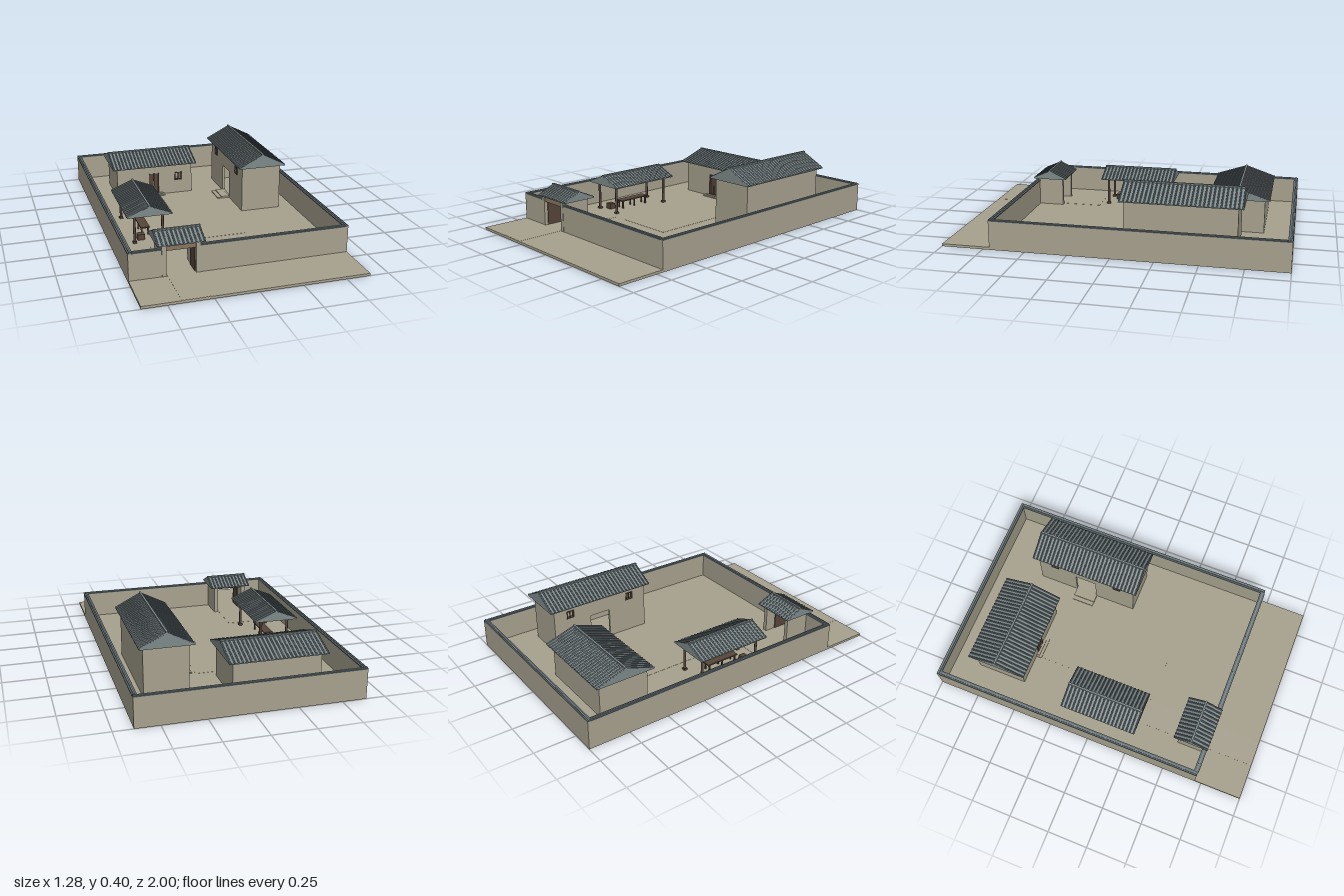
import * as THREE from 'three';
import { mergeGeometries } from 'three/addons/utils/BufferGeometryUtils.js';

const mat = (name, color) => {
  const m = new THREE.MeshStandardMaterial({ color });
  m.name = name;
  return m;
};

export function createModel() {
  const root = new THREE.Group();
  root.name = 'walledCourtyard';
  const earth = mat('earthPlaster', 0xa8a28f);
  const tile = mat('roofTile', 0x7f8a8b);
  const rib = mat('tileRib', 0x5f6b70);
  const wood = mat('darkWood', 0x57453b);
  const beamWood = mat('lightWood', 0x89755f);
  const G = 0.015; // ground level

  const add = (parent, name, geo, m) => {
    const mesh = new THREE.Mesh(geo, m);
    mesh.name = name;
    parent.add(mesh);
    return mesh;
  };
  const group = (name) => {
    const g = new THREE.Group();
    g.name = name;
    root.add(g);
    return g;
  };
  // box given by its extents
  const box = (parent, name, m, x0, x1, y0, y1, z0, z1) => {
    const mesh = add(parent, name, new THREE.BoxGeometry(x1 - x0, y1 - y0, z1 - z0), m);
    mesh.position.set((x0 + x1) / 2, (y0 + y1) / 2, (z0 + z1) / 2);
    return mesh;
  };

  // gabled roof with tile ribs; ridge along local x, centred on the origin at eave height
  function roof(parent, name, x, y, z, length, span, rise, alongZ) {
    const g = new THREE.Group();
    g.name = name;
    const h = span / 2, lip = 0.005;
    const s = new THREE.Shape();
    s.moveTo(-h, 0); s.lineTo(h, 0); s.lineTo(h, lip); s.lineTo(0, rise); s.lineTo(-h, lip);
    s.closePath();
    const body = new THREE.ExtrudeGeometry(s, { depth: length, bevelEnabled: false });
    body.translate(0, 0, -length / 2).rotateY(Math.PI / 2);
    add(g, 'roofBody', body, tile);
    const dy = rise - lip, slope = Math.hypot(h, dy), a = Math.atan2(dy, h);
    const n = Math.round(length / 0.024), ribs = [];
    for (let i = 0; i <= n; i++) {
      const px = -length / 2 + 0.005 + (length - 0.01) * i / n;
      for (const side of [1, -1]) {
        const c = new THREE.CylinderGeometry(0.005, 0.005, slope, 6);
        c.rotateX(side * (Math.PI / 2 + a));
        c.translate(px, (rise + lip) / 2, side * h / 2);
        ribs.push(c);
      }
    }
    add(g, 'tileRibs', mergeGeometries(ribs), rib);
    box(g, 'ridgeCap', tile, -length / 2, length / 2, rise - 0.003, rise + 0.007, -0.006, 0.006);
    g.position.set(x, y, z);
    if (alongZ) g.rotation.y = Math.PI / 2;
    parent.add(g);
  }

  // wall panel in local xy, with rectangular holes [x0, x1, y0, y1]
  function panel(parent, name, x0, x1, h, t, holes) {
    const s = new THREE.Shape();
    s.moveTo(x0, 0); s.lineTo(x1, 0); s.lineTo(x1, h); s.lineTo(x0, h); s.closePath();
    for (const [a, b, c, d] of holes) {
      const p = new THREE.Path();
      p.moveTo(a, c); p.lineTo(a, d); p.lineTo(b, d); p.lineTo(b, c); p.closePath();
      s.holes.push(p);
    }
    return add(parent, name, new THREE.ExtrudeGeometry(s, { depth: t, bevelEnabled: false }), earth);
  }

  // wooden frame round an opening, local to its wall
  function frame(parent, name, a, b, c, d, z0, z1, bars) {
    const g = new THREE.Group(), e = 0.005;
    g.name = name;
    box(g, 'jamb', wood, a, a + e, c, d, z0, z1);
    box(g, 'jamb', wood, b - e, b, c, d, z0, z1);
    box(g, 'head', wood, a, b, d - e, d, z0, z1);
    box(g, 'sill', wood, a, b, c, c + e, z0, z1);
    if (bars) box(g, 'bar', wood, (a + b) / 2 - 0.002, (a + b) / 2 + 0.002, c, d, z0 + 0.006, z1 - 0.006);
    parent.add(g);
  }

  // ground slab and thin paving
  box(root, 'ground', earth, -0.64, 0.64, 0, G, -1, 1);
  box(root, 'yardPaving', earth, -0.26, 0.17, G, G + 0.001, -0.46, 0.285);
  box(root, 'gatePath', earth, -0.425, -0.268, G, G + 0.001, 0.285, 0.998);

  // perimeter walls with tiled caps
  const walls = group('perimeterWall');
  const runs = [
    [-0.64, 0.64, -1, -0.978], [-0.64, -0.618, -0.978, 0.71], [0.618, 0.64, -0.978, 0.71],
    [-0.618, -0.455, 0.688, 0.71], [-0.239, 0.618, 0.688, 0.71],
  ];
  for (const [x0, x1, z0, z1] of runs) {
    box(walls, 'wall', earth, x0, x1, G, 0.172, z0, z1);
    const alongX = x1 - x0 > z1 - z0, ex = alongX ? 0 : 0.004, ez = alongX ? 0.004 : 0;
    box(walls, 'wallCap', rib, Math.max(x0 - ex, -0.642), Math.min(x1 + ex, 0.642), 0.172, 0.178,
      Math.max(z0 - ez, -1), z1 + ez);
    const ix = alongX ? 0 : 0.007, iz = alongX ? 0.007 : 0;
    box(walls, 'capRidge', tile, x0 + ix, x1 - ix, 0.178, 0.183, z0 + iz, z1 - iz);
  }

  // back house
  const house = group('backHouse');
  const front = panel(house, 'frontWall', -0.45, 0.063, 0.207, 0.015,
    [[-0.235, -0.165, 0.012, 0.15], [-0.055, -0.005, 0.09, 0.145]]);
  front.position.set(0, G, -0.525);
  frame(front, 'doorFrame', -0.235, -0.165, 0.012, 0.15, -0.002, 0.019);
  frame(front, 'windowFrame', -0.055, -0.005, 0.09, 0.145, -0.002, 0.019, true);
  for (const x of [-0.229, -0.199]) box(front, 'doorLeaf', wood, x, x + 0.028, 0.015, 0.146, 0.004, 0.009);
  box(house, 'backWall', earth, -0.45, 0.063, G, 0.222, -0.82, -0.805);
  box(house, 'sideWall', earth, -0.45, -0.435, G, 0.222, -0.805, -0.525);
  box(house, 'sideWall', earth, 0.048, 0.063, G, 0.222, -0.805, -0.525);
  box(house, 'lowerStep', earth, -0.265, -0.13, G, G + 0.006, -0.51, -0.475);
  box(house, 'upperStep', earth, -0.255, -0.14, G, G + 0.012, -0.51, -0.492);
  roof(house, 'houseRoof', -0.195, 0.22, -0.665, 0.57, 0.37, 0.067, false);

  // tall side building, its doorway facing the yard
  const hall = group('sideHall');
  const hallFront = panel(hall, 'yardWall', -0.7, -0.055, 0.293, 0.015,
    [[-0.45, -0.315, 0.008, 0.185], [-0.615, -0.565, 0.215, 0.265], [-0.195, -0.145, 0.215, 0.265]]);
  hallFront.rotation.y = -Math.PI / 2;
  hallFront.position.set(0.285, G, 0);
  for (const z of [-0.615, -0.195]) frame(hallFront, 'windowFrame', z, z + 0.05, 0.215, 0.265, -0.002, 0.019, true);
  box(hall, 'outerWall', earth, 0.511, 0.526, G, 0.308, -0.7, -0.055);
  box(hall, 'endWall', earth, 0.285, 0.511, G, 0.308, -0.7, -0.685);
  box(hall, 'endWall', earth, 0.285, 0.511, G, 0.308, -0.07, -0.055);
  box(hall, 'lowerStep', earth, 0.19, 0.27, G, G + 0.006, -0.45, -0.31);
  box(hall, 'upperStep', earth, 0.217, 0.27, G, G + 0.012, -0.45, -0.31);
  roof(hall, 'hallRoof', 0.398, 0.307, -0.38, 0.7, 0.305, 0.083, true);

  // open pavilion with table and crate
  const pav = group('pavilion');
  for (const x of [-0.5, -0.33]) {
    for (const z of [-0.165, 0.235]) {
      add(pav, 'post', new THREE.CylinderGeometry(0.008, 0.008, 0.17, 10), wood).position.set(x, 0.1, z);
      box(pav, 'postBase', wood, x - 0.011, x + 0.011, G, G + 0.012, z - 0.011, z + 0.011);
    }
    box(pav, 'eaveBeam', beamWood, x - 0.007, x + 0.007, 0.178, 0.192, -0.175, 0.245);
  }
  for (const z of [-0.165, 0.235]) box(pav, 'crossBeam', beamWood, -0.5, -0.33, 0.18, 0.192, z - 0.006, z + 0.006);
  roof(pav, 'pavilionRoof', -0.415, 0.19, 0.035, 0.48, 0.27, 0.06, true);
  const table = new THREE.Group();
  table.name = 'table';
  pav.add(table);
  box(table, 'tableTop', wood, -0.443, -0.387, 0.062, 0.069, -0.075, 0.145);
  for (const x of [-0.435, -0.395]) {
    for (const z of [-0.06, 0.035, 0.13]) box(table, 'tableLeg', wood, x - 0.004, x + 0.004, G, 0.062, z - 0.004, z + 0.004);
  }
  box(pav, 'crate', wood, -0.475, -0.432, G, 0.05, 0.165, 0.205);

  // gatehouse
  const gate = group('gatehouse');
  box(gate, 'gatePier', earth, -0.455, -0.43, G, 0.195, 0.53, 0.712);
  box(gate, 'gatePier', earth, -0.263, -0.238, G, 0.195, 0.53, 0.712);
  box(gate, 'lintel', beamWood, -0.43, -0.263, 0.162, 0.195, 0.675, 0.705);
  box(gate, 'rearBeam', beamWood, -0.43, -0.263, 0.178, 0.195, 0.535, 0.55);
  box(gate, 'doorLeaf', wood, -0.43, -0.425, G, 0.162, 0.6, 0.69);
  box(gate, 'doorLeaf', wood, -0.268, -0.263, G, 0.162, 0.6, 0.69);
  roof(gate, 'gateRoof', -0.345, 0.193, 0.61, 0.27, 0.215, 0.053, false);

  return root;
}
